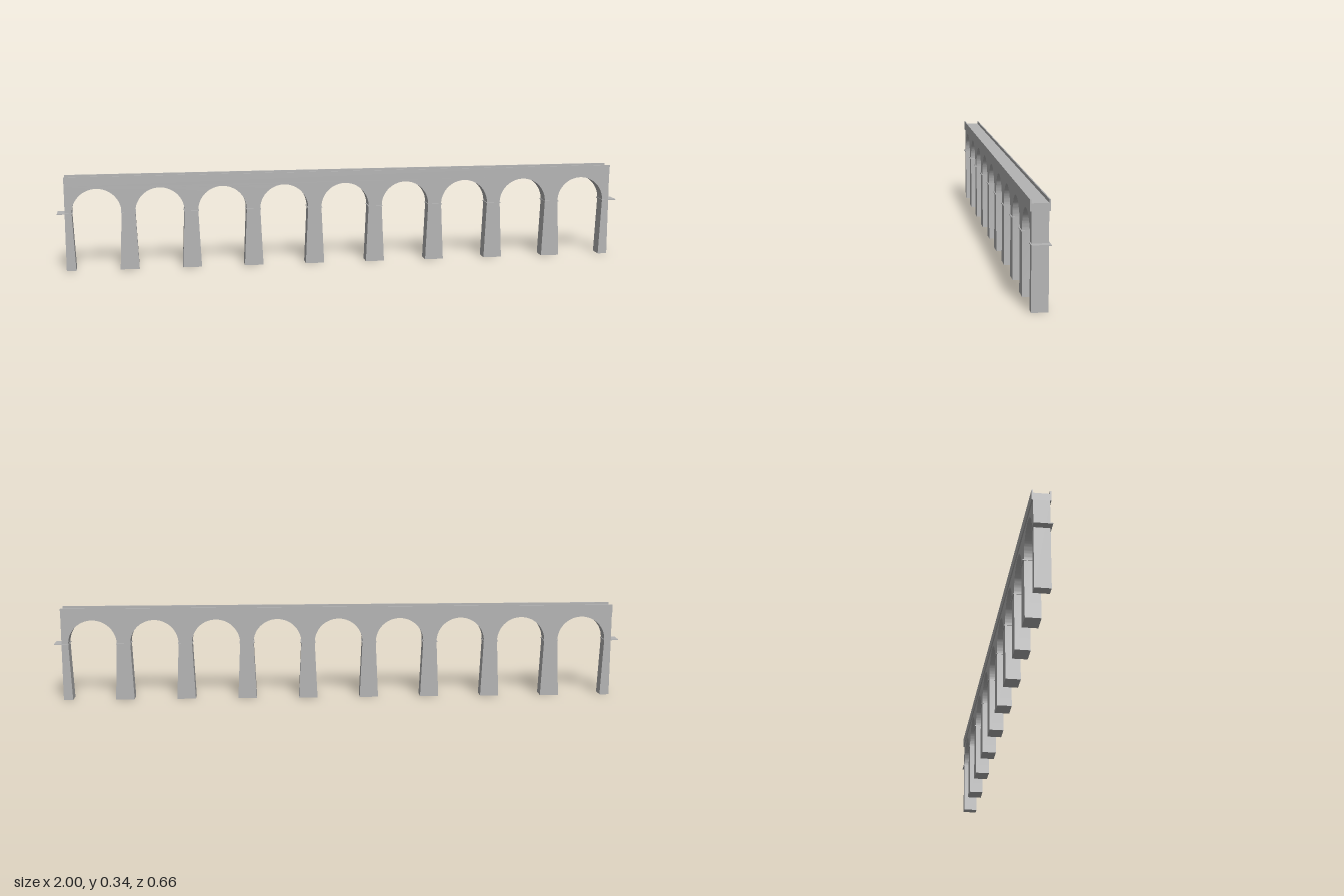
import * as THREE from 'three';
import { toCreasedNormals } from 'three/addons/utils/BufferGeometryUtils.js';

const SPANS = 9;
const PITCH = 0.2243;            // pier centre to pier centre
const HALF = SPANS * PITCH / 2;  // half the bridge length
const SPRING = 0.208;            // height where the arches start
const FOOT = 0.034;              // half pier length at the ground
const NECK = 0.0245;             // half pier length at the springing
const BODY_TOP = 0.305, DECK_TOP = 0.329, WALL_TOP = 0.34;
const BODY_WIDTH = 0.0525, DECK_WIDTH = 0.061, WALL = 0.004;

export function createModel() {
  const stone = new THREE.MeshStandardMaterial({ color: 0xb4b4b4 });
  stone.name = 'grey stone';

  const viaduct = new THREE.Group();
  viaduct.name = 'viaduct';

  const add = (name, geometry, x = 0, y = 0, z = 0) => {
    const mesh = new THREE.Mesh(geometry, stone);
    mesh.name = name;
    mesh.position.set(x, y, z);
    viaduct.add(mesh);
  };

  // Tapered piers and round arches in one outline, with half piers at the ends
  const outline = new THREE.Shape();
  outline.moveTo(-HALF, 0);
  for (let i = 0; i < SPANS; i++) {
    const left = -HALF + i * PITCH, right = left + PITCH;
    outline.lineTo(left + FOOT, 0);
    outline.lineTo(left + NECK, SPRING);
    outline.absarc((left + right) / 2, SPRING, PITCH / 2 - NECK, Math.PI, 0, true);
    outline.lineTo(right - FOOT, 0);
  }
  outline.lineTo(HALF, 0);
  outline.lineTo(HALF, BODY_TOP);
  outline.lineTo(-HALF, BODY_TOP);
  const arcade = new THREE.ExtrudeGeometry(outline, {
    depth: BODY_WIDTH, bevelEnabled: false, curveSegments: 32,
  });
  add('arcade', toCreasedNormals(arcade, 0.4), 0, 0, -BODY_WIDTH / 2);

  // Deck trough: one cross-section with a low wall along each side
  const w = DECK_WIDTH / 2;
  const section = new THREE.Shape([
    [-w, BODY_TOP], [w, BODY_TOP], [w, WALL_TOP], [w - WALL, WALL_TOP],
    [w - WALL, DECK_TOP], [-w + WALL, DECK_TOP], [-w + WALL, WALL_TOP], [-w, WALL_TOP],
  ].map(([x, y]) => new THREE.Vector2(x, y)));
  const deck = new THREE.ExtrudeGeometry(section, { depth: 2 * HALF, bevelEnabled: false });
  deck.translate(0, 0, -HALF);
  deck.rotateY(Math.PI / 2);
  add('deckAndParapets', deck);

  // Thin impost slab at the springing of every pier
  const impost = new THREE.BoxGeometry(0.054, 0.003, 0.06);
  for (let i = 0; i <= SPANS; i++) add('impost', impost, -HALF + i * PITCH, SPRING);

  // The bridge runs diagonally across the ground
  viaduct.rotation.y = -0.2959;

  const model = new THREE.Group();
  model.name = 'archedViaduct';
  model.add(viaduct);
  return model;
}
